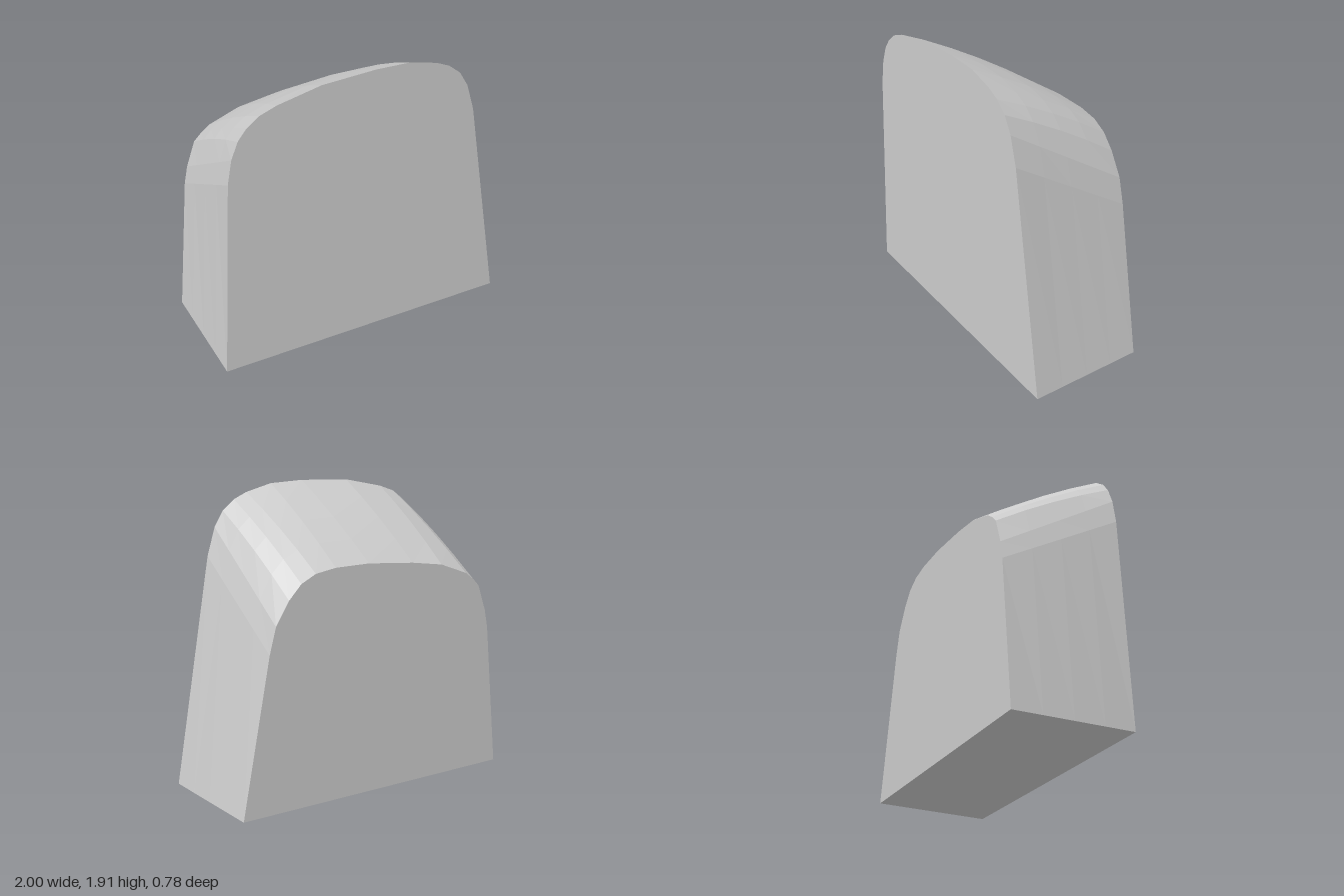
import * as THREE from 'three';

// Outlines run from the bottom right corner over the top to the bottom left corner, as [x, y]
const FRONT = [
  [-0.985, 0], [-0.9, 1.39], [-0.87, 1.55], [-0.825, 1.66], [-0.77, 1.73], [-0.69, 1.79],
  [-0.58, 1.83], [-0.3, 1.89], [0.05, 1.907], [0.28, 1.9], [0.46, 1.855], [0.55, 1.815],
  [0.63, 1.75], [0.69, 1.65], [0.745, 1.47], [1, 0],
];
const BACK = [
  [-1, 0], [-0.905, 0.95], [-0.88, 1.07], [-0.82, 1.24], [-0.77, 1.29], [-0.71, 1.335],
  [-0.51, 1.41], [-0.28, 1.445], [0.05, 1.474], [0.29, 1.472], [0.43, 1.45], [0.53, 1.4],
  [0.615, 1.31], [0.705, 1.165], [0.75, 1.0], [0.945, 0],
];
const DEPTH = 0.78;
const STEPS = 4;

// Section between the two outlines, with the crown slightly bulged along its depth
function section(t) {
  return FRONT.map(([x, y], i) => {
    const crown = i >= 3 && i <= 12 ? 0.08 * t * (1 - t) : 0;
    return new THREE.Vector3(
      THREE.MathUtils.lerp(x, BACK[i][0], t),
      THREE.MathUtils.lerp(y, BACK[i][1], t) + crown,
      DEPTH * (0.5 - t),
    );
  });
}

function geometryFrom(points) {
  const geometry = new THREE.BufferGeometry().setFromPoints(points);
  geometry.computeVertexNormals();
  return geometry;
}

// Wall swept through all sections, closed by the underside
function wallGeometry() {
  const points = [];
  const n = FRONT.length;
  for (let s = 0; s < STEPS; s++) {
    const near = section(s / STEPS);
    const far = section((s + 1) / STEPS);
    for (let i = 0; i < n; i++) {
      const j = (i + 1) % n;
      points.push(near[i], near[j], far[j], near[i], far[j], far[i]);
    }
  }
  return geometryFrom(points);
}

// Flat end face, fanned from the first corner
function capGeometry(t) {
  const ring = section(t);
  const points = [];
  for (let i = 1; i < ring.length - 1; i++) {
    if (t === 0) points.push(ring[0], ring[i + 1], ring[i]);
    else points.push(ring[0], ring[i], ring[i + 1]);
  }
  return geometryFrom(points);
}

export function createModel() {
  const group = new THREE.Group();
  group.name = 'roundedBlock';
  const grey = new THREE.MeshStandardMaterial({ color: 0xcccccc });
  grey.name = 'light grey';

  const parts = { slopedWall: wallGeometry(), frontFace: capGeometry(0), backFace: capGeometry(1) };
  for (const [name, geometry] of Object.entries(parts)) {
    const mesh = new THREE.Mesh(geometry, grey);
    mesh.name = name;
    group.add(mesh);
  }
  return group;
}
